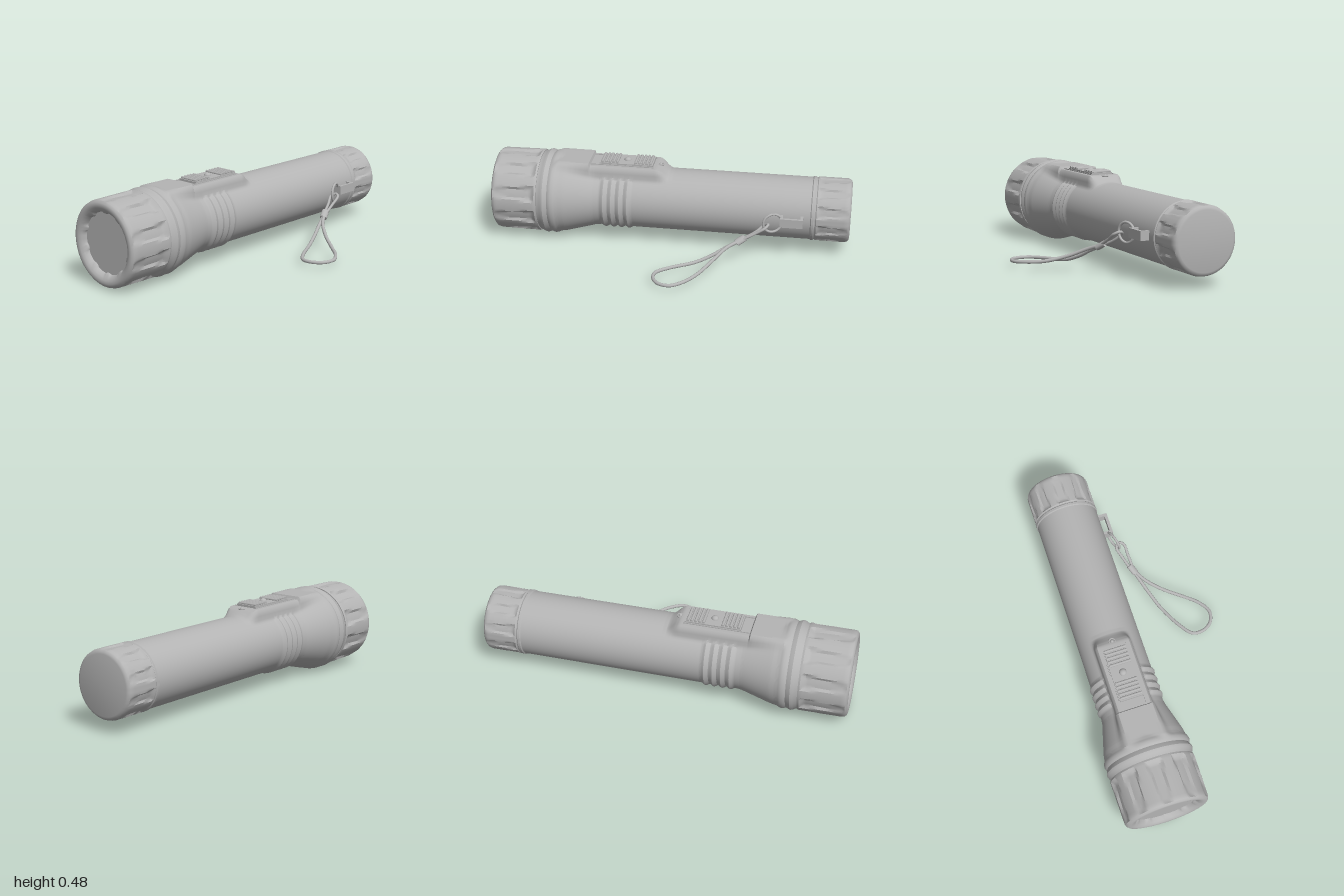
import * as THREE from 'three';
import { mergeVertices, toCreasedNormals } from 'three/addons/utils/BufferGeometryUtils.js';

const grey = new THREE.MeshStandardMaterial({ color: 0xb4b4b4 });
grey.name = 'grey plastic';
const AX = -0.198, AY = 0.242; // axis of the torch

const smooth = THREE.MathUtils.smoothstep;

function add(parent, name, geometry, x = 0, y = 0, z = 0) {
  const mesh = new THREE.Mesh(geometry, grey);
  mesh.name = name;
  mesh.position.set(x, y, z);
  parent.add(mesh);
  return mesh;
}

// Turned part along z; rule(r, a, z) reshapes the radius, a = angle from the top
function turned(profile, segments, rule, crease = 0.6) {
  let g = new THREE.LatheGeometry(profile.map(([z, r]) => new THREE.Vector2(r, z)), segments);
  g.rotateX(Math.PI / 2);
  const p = g.attributes.position;
  if (rule) {
    for (let i = 0; i < p.count; i++) {
      const x = p.getX(i), y = p.getY(i), r = Math.hypot(x, y);
      if (r < 1e-5) continue;
      const k = rule(r, Math.abs(Math.atan2(x, y)), p.getZ(i)) / r;
      p.setXY(i, x * k, y * k);
    }
  }
  g.deleteAttribute('uv');
  g.deleteAttribute('normal');
  g = mergeVertices(g, 1e-5);
  g.computeVertexNormals();
  return toCreasedNormals(g, crease);
}

// Fill a coarse [z, r] profile with extra rings
function resample(profile, step) {
  const out = [profile[0]];
  for (let i = 1; i < profile.length; i++) {
    const [z0, r0] = profile[i - 1], [z1, r1] = profile[i];
    const n = Math.max(1, Math.round(Math.abs(z1 - z0) / step));
    for (let j = 1; j <= n; j++) out.push([z0 + (z1 - z0) * j / n, r0 + (r1 - r0) * j / n]);
  }
  return out;
}

// Barrel with raised switch housing on top and grip ribs round the sides
function barrelRule(r, a, z) {
  let out = r;
  if (z > 0.2125 && z < 0.3925) {
    const wave = Math.sin(Math.PI * (z - 0.2125) / 0.045) ** 2;
    out += 0.011 * wave * smooth(a, 0.58, 0.72);
  }
  if (z > 0 && z < 0.64 && a < 0.75) {
    const height = z > 0.457 ? 0.226 : 0.211;
    const flat = height / Math.cos(Math.min(a, 0.42));
    const blend = smooth(z, 0.0, 0.085) * (1 - smooth(a, 0.38, 0.66));
    out = Math.max(out, r + (flat - r) * blend);
  }
  return out;
}

// Shallow flutes round an end cap, one centred on top
const flutes = (z0, z1, depth) => (r, a, z) => {
  const t = (z - z0) / (z1 - z0);
  if (t < 0 || t > 1 || r < 0.15) return r;
  const edge = -0.35 + 0.75 * t;
  const cut = smooth(Math.cos(10 * a), edge, edge + 0.4);
  return r - depth * cut * smooth(t, 0, 0.06) * (1 - 0.55 * t);
};

const tube = (points, radius, closed, n) => new THREE.TubeGeometry(
  new THREE.CatmullRomCurve3(points.map(p => new THREE.Vector3(...p)), closed), n, radius, 10, closed);

export function createModel() {
  const model = new THREE.Group();
  model.name = 'flashlight';
  const torch = new THREE.Group();
  torch.name = 'torch';
  torch.position.set(AX, AY, 0);
  model.add(torch);

  // Barrel flaring into the head, with two collars
  const barrel = resample([
    [-0.80, 0.174], [0, 0.174], [0.40, 0.174], [0.43, 0.178], [0.59, 0.222], [0.63, 0.229],
  ], 0.0075).concat([
    [0.64, 0.235], [0.655, 0.239], [0.67, 0.235], [0.678, 0.230], [0.688, 0.235], [0.702, 0.240],
    [0.716, 0.236], [0.724, 0.230], [0.735, 0.228], [0.75, 0.222],
  ]);
  add(torch, 'barrel', turned(barrel, 96, barrelRule));

  // Fluted front cap with rounded bezel
  const front = [[0.74, 0.215], [0.74, 0.231], ...resample([[0.75, 0.234], [0.975, 0.231]], 0.0125),
    [0.988, 0.227], [0.997, 0.217], [1.0, 0.205], [0.997, 0.19], [0.988, 0.177], [0.975, 0.168], [0.96, 0.163]];
  add(torch, 'frontCap', turned(front, 120, flutes(0.755, 0.985, 0.017)));
  add(torch, 'lens', new THREE.CircleGeometry(0.166, 32), 0, 0, 0.965);

  // Fluted tail cap with its collar
  const tail = [[-1, 0], [-1, 0.155], [-0.997, 0.166], [-0.988, 0.174],
    ...resample([[-0.975, 0.178], [-0.815, 0.178]], 0.0125), [-0.81, 0.174], [-0.805, 0.174],
    [-0.80, 0.179], [-0.788, 0.179], [-0.782, 0.173]];
  add(torch, 'tailCap', turned(tail, 120, flutes(-0.82, -0.985, 0.012)));

  // Sliding switch in its frame
  const slider = new THREE.Group();
  slider.name = 'switch';
  slider.position.y = 0.211;
  torch.add(slider);
  for (const s of [-1, 1]) add(slider, 'switchRail', new THREE.BoxGeometry(0.005, 0.008, 0.36), s * 0.066, 0.001, 0.277);
  add(slider, 'switchPlate', new THREE.BoxGeometry(0.126, 0.024, 0.3), 0, 0, 0.253);
  for (const start of [0.118, 0.305]) {
    for (let i = 0; i < 5; i++) {
      const ridge = new THREE.CylinderGeometry(0.008, 0.008, 0.118, 8).rotateZ(Math.PI / 2);
      add(slider, 'switchRidge', ridge, 0, 0.015, start + i * 0.021);
    }
  }
  const dome = new THREE.SphereGeometry(0.02, 20, 8, 0, Math.PI * 2, 0, Math.PI / 2).scale(1, 0.8, 1);
  add(slider, 'switchButton', dome, 0, 0.011, 0.253);
  add(slider, 'rivetRing', new THREE.TorusGeometry(0.016, 0.004, 8, 20).rotateX(Math.PI / 2), 0, -0.004, 0.066);
  add(slider, 'rivet', new THREE.SphereGeometry(0.01, 12, 8), 0, -0.004, 0.066);

  // Strap lug on the side: a bar on two posts
  const lug = new THREE.Group();
  lug.name = 'strapLug';
  model.add(lug);
  add(lug, 'lugBar', new THREE.BoxGeometry(0.016, 0.05, 0.125), 0.017, 0.246, -0.683);
  for (const z of [-0.738, -0.628]) add(lug, 'lugPost', new THREE.BoxGeometry(0.05, 0.05, 0.015), -0.005, 0.246, z);

  // Ring through the lug
  const ring = add(model, 'ring', new THREE.TorusGeometry(0.053, 0.007, 10, 32), 0.015, 0.24, -0.582);
  ring.rotation.y = -1.22;

  // Cord: small eye, crimp and large wrist loop
  add(model, 'cordEye', tube([
    [0.078, 0.152, -0.415], [0.07, 0.195, -0.49], [0.064, 0.23, -0.545], [0.04, 0.241, -0.56],
    [0.018, 0.228, -0.54], [0.035, 0.19, -0.495], [0.066, 0.15, -0.415],
  ], 0.008, false, 48), 0, 0, 0);
  const crimp = add(model, 'crimp', new THREE.CylinderGeometry(0.021, 0.021, 0.055, 16).scale(1, 1, 0.75), 0.073, 0.152, -0.416);
  crimp.quaternion.setFromUnitVectors(new THREE.Vector3(0, 1, 0), new THREE.Vector3(0.4, -0.5, 0.85).normalize());
  add(model, 'wristLoop', tube([
    [0.075, 0.152, -0.415], [0.12, 0.125, -0.345], [0.2, 0.083, -0.277], [0.3, 0.052, -0.21], [0.38, 0.043, -0.145],
    [0.423, 0.039, -0.075], [0.405, 0.037, -0.01], [0.35, 0.036, 0.024], [0.29, 0.035, 0.02],
    [0.235, 0.037, -0.045], [0.165, 0.045, -0.18], [0.13, 0.075, -0.265], [0.1, 0.115, -0.34], [0.072, 0.15, -0.415],
  ], 0.0095, false, 96));

  return model;
}
